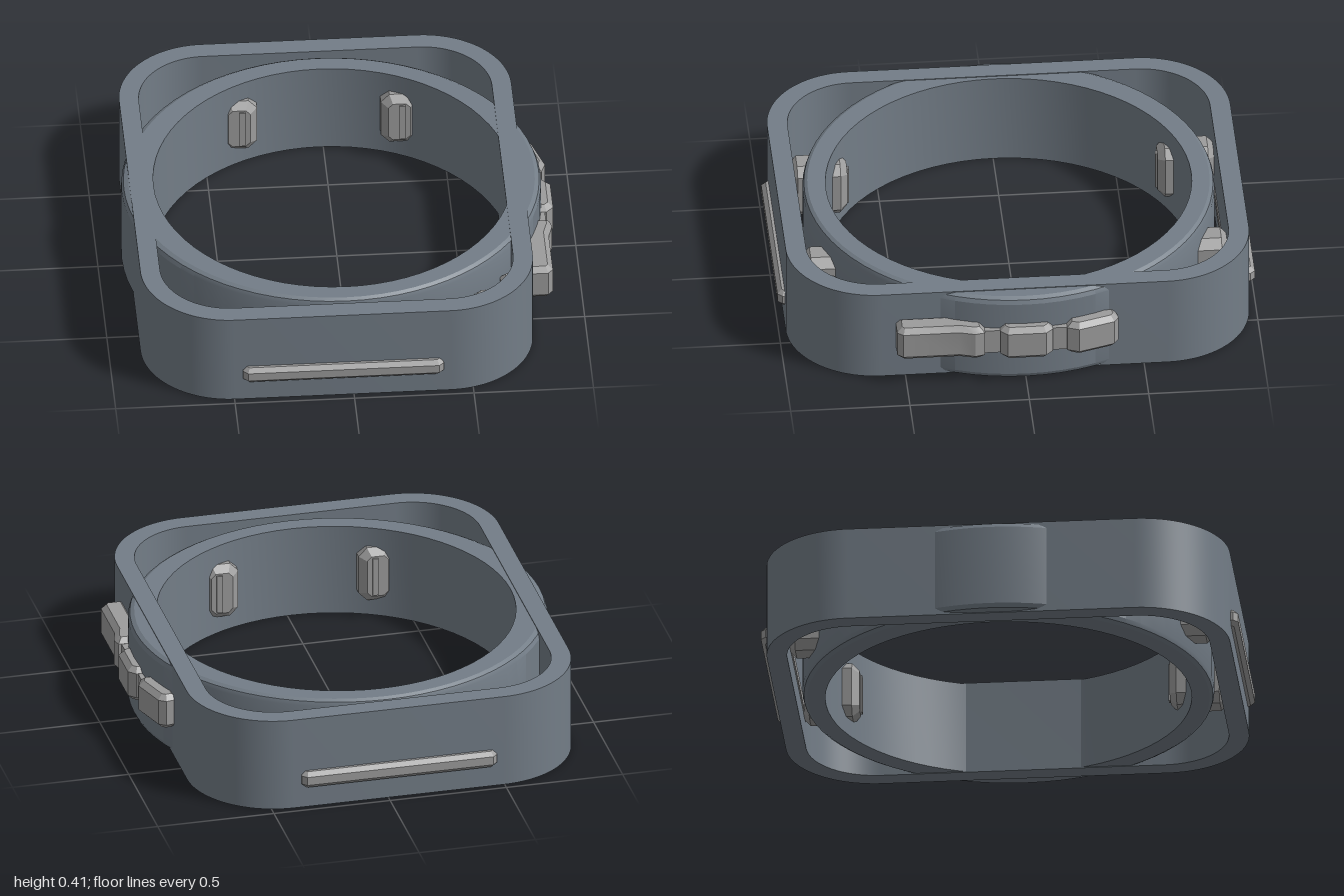
import * as THREE from 'three';
import { toCreasedNormals } from 'three/addons/utils/BufferGeometryUtils.js';

const H = 0.41;

function roundedRect(path, x0, x1, z0, z1, r) {
  path.moveTo(x0 + r, z0);
  path.lineTo(x1 - r, z0);
  path.absarc(x1 - r, z0 + r, r, -Math.PI / 2, 0, false);
  path.lineTo(x1, z1 - r);
  path.absarc(x1 - r, z1 - r, r, 0, Math.PI / 2, false);
  path.lineTo(x0 + r, z1);
  path.absarc(x0 + r, z1 - r, r, Math.PI / 2, Math.PI, false);
  path.lineTo(x0, z0 + r);
  path.absarc(x0 + r, z0 + r, r, Math.PI, Math.PI * 1.5, false);
  return path;
}

// Extrudes a shape along z from 0 to depth, with chamfered ends
function chamferExtrude(shape, depth, bevel) {
  const geo = new THREE.ExtrudeGeometry(shape, {
    depth: depth - 2 * bevel, bevelEnabled: bevel > 0, bevelThickness: bevel,
    bevelSize: bevel, bevelOffset: -bevel, bevelSegments: 1, curveSegments: 14,
  });
  return geo.translate(0, 0, bevel);
}

// Extrudes a plan outline (x, z) between two heights
function planExtrude(shape, y0, y1, bevel = 0) {
  const geo = chamferExtrude(shape, y1 - y0, bevel);
  geo.rotateX(Math.PI / 2);
  geo.translate(0, y1, 0);
  return toCreasedNormals(geo, 0.4);
}

const outline = (pts) => new THREE.Shape(pts.map(([x, y]) => new THREE.Vector2(x, y)));

export function createModel() {
  const group = new THREE.Group();
  const shellMat = new THREE.MeshStandardMaterial({ color: 0x737d87 });
  const greyMat = new THREE.MeshStandardMaterial({ color: 0x9c9c9c });
  const add = (name, geo, mat = greyMat) => {
    const mesh = new THREE.Mesh(geo, mat);
    mesh.name = name;
    group.add(mesh);
    return mesh;
  };

  // Rounded square frame, open at top and bottom
  const frame = roundedRect(new THREE.Shape(), -0.867, 0.775, -0.97, 0.97, 0.37);
  frame.holes.push(roundedRect(new THREE.Path(), -0.785, 0.693, -0.885, 0.885, 0.29));
  add('frame', planExtrude(frame, 0, H), shellMat);

  // Slightly oval ring with chamfered outer edges
  const inner = 0.765, outer = 0.86;
  const profile = [
    [inner, 0.003], [outer - 0.02, 0.003], [outer - 0.006, 0.012], [outer, 0.03], [outer, H - 0.03],
    [outer - 0.006, H - 0.012], [outer - 0.02, H - 0.003], [inner, H - 0.003], [inner, 0.003],
  ].map(([r, y]) => new THREE.Vector2(r, y));
  const ring = new THREE.LatheGeometry(profile, 72);
  const pos = ring.attributes.position;
  for (let i = 0; i < pos.count; i++) {
    const t = (Math.hypot(pos.getX(i), pos.getZ(i)) - inner) / (outer - inner);
    pos.setX(i, pos.getX(i) * (0.98 + 0.039 * t) - 0.018 - 0.006 * t);
  }
  add('ring', toCreasedNormals(ring, 0.4), shellMat);

  // Long trim bars and ring lugs, mirrored front and back
  const lugFace = outline([
    [-0.04, -0.122], [0.04, -0.122], [0.076, -0.085], [0.076, 0.085],
    [0.04, 0.122], [-0.04, 0.122], [-0.076, 0.085], [-0.076, -0.085],
  ]);
  for (const [side, s] of [['front', 1], ['back', -1]]) {
    const bar = outline([
      [-0.465, 0.88], [0.375, 0.88], [0.375, 0.98], [0.355, 1], [-0.445, 1], [-0.465, 0.98],
    ].map(([x, z]) => [x, z * s]));
    add(side + 'TrimBar', planExtrude(bar, 0.095, 0.168, 0.018));

    for (const x of [-0.36, 0.31]) {
      const name = side + (x > 0 ? 'Left' : 'Right') + 'Lug';
      const lug = toCreasedNormals(chamferExtrude(lugFace, 0.24, 0.03), 0.4);
      lug.translate(x, 0.2, s > 0 ? 0.65 : -0.89);
      add(name, lug);

      // Narrow upright ridge on the lug's inner face
      const ridge = new THREE.BoxGeometry(0.025, 0.17, 0.03);
      ridge.translate(x + 0.012, 0.2, s * 0.657);
      add(name + 'Ridge', ridge);
    }
  }

  // Row of side buttons that follows the ring's curve
  const buttons = {
    longButton: [[0.76, 0.54], [0.845, 0.54], [0.866, 0.515], [0.866, 0.28], [0.885, 0.215], [0.875, 0.175], [0.76, 0.175]],
    middleButton: [[0.76, 0.11], [0.87, 0.11], [0.899, 0.08], [0.899, -0.08], [0.87, -0.11], [0.76, -0.11]],
    shortButton: [[0.76, -0.17], [0.868, -0.17], [0.887, -0.22], [0.84, -0.37], [0.81, -0.39], [0.76, -0.38]],
    cornerButton: [[0.408, 0.765], [0.55, 0.645], [0.59, 0.643], [0.61, 0.695], [0.47, 0.805], [0.425, 0.815]],
    innerNub: [[0.64, 0.55], [0.645, 0.595], [0.69, 0.61], [0.73, 0.56], [0.73, 0.5]],
  };
  for (const [name, pts] of Object.entries(buttons)) {
    add(name, planExtrude(outline(pts), 0.13, 0.285, 0.022));
  }

  // Narrow links between the side buttons
  for (const z of [-0.14, 0.14]) {
    const link = new THREE.BoxGeometry(0.1, 0.11, 0.09);
    link.translate(0.812, 0.207, z);
    add('buttonLink', link);
  }
  return group;
}
